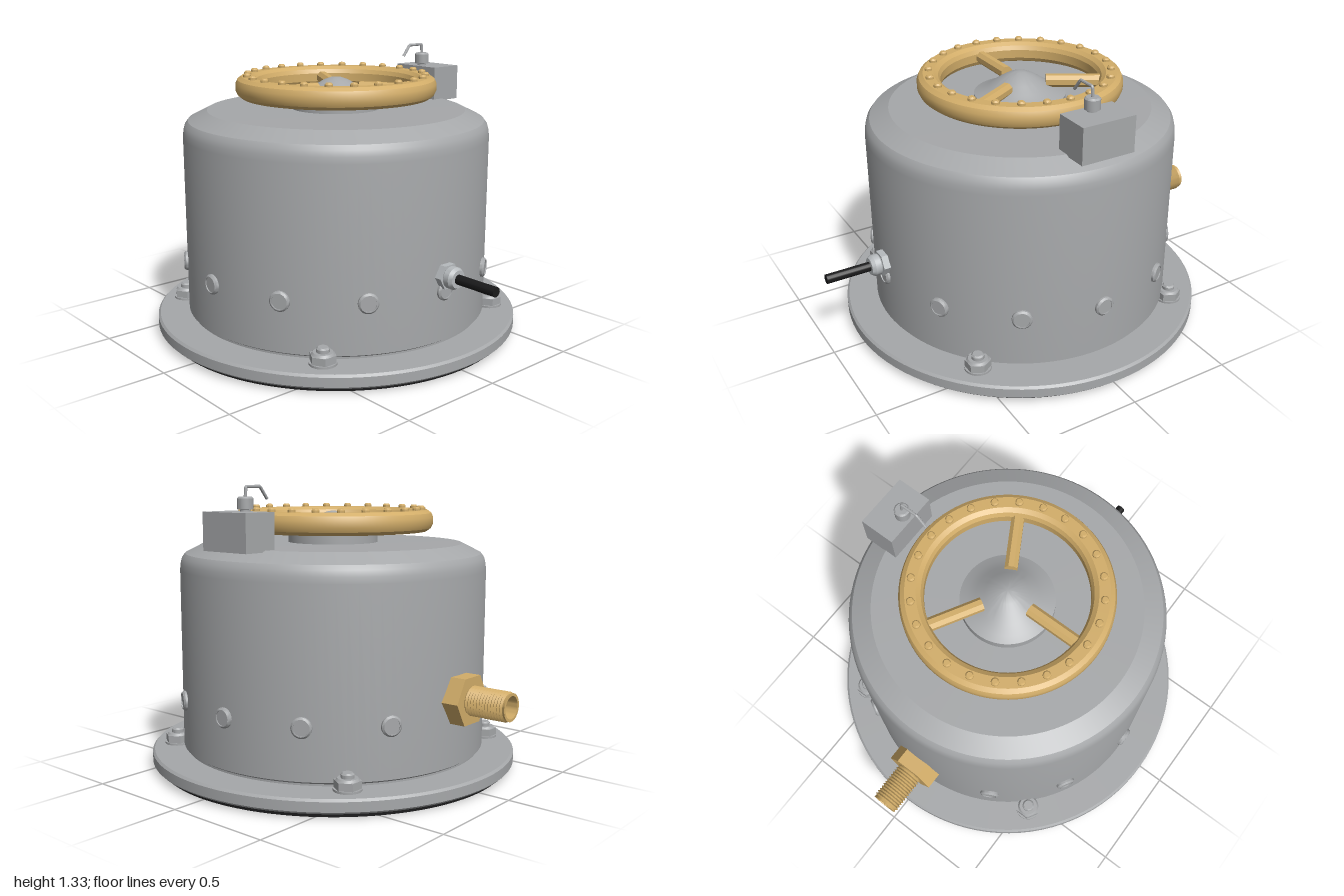
import * as THREE from 'three';
import { toCreasedNormals } from 'three/addons/utils/BufferGeometryUtils.js';

const mat = (name, color) => {
  const m = new THREE.MeshStandardMaterial({ color });
  m.name = name;
  return m;
};

export function createModel() {
  const grey = mat('steel grey', 0xa6a8aa);
  const pale = mat('pale steel', 0xb6babd);
  const brass = mat('brass', 0xd2ad69);
  const black = mat('black rubber', 0x1a1a1b);

  const model = new THREE.Group();
  model.name = 'housing';
  const body = new THREE.Group();
  body.name = 'bodyAssembly';
  body.position.x = -0.013;
  model.add(body);

  const add = (name, geo, material, parent = body) => {
    const mesh = new THREE.Mesh(toCreasedNormals(geo, 0.45), material);
    mesh.name = name;
    parent.add(mesh);
    return mesh;
  };
  const lathe = (pts, seg = 96) =>
    new THREE.LatheGeometry(pts.map(([r, y]) => new THREE.Vector2(r, y)), seg);
  // Cylinder standing on y0 and ending at y1
  const post = (r0, r1, y0, y1, seg = 24) =>
    new THREE.CylinderGeometry(r1, r0, y1 - y0, seg).translate(0, (y0 + y1) / 2, 0);
  const polar = (mesh, r, a, y = 0) => mesh.position.set(r * Math.cos(a), y, r * Math.sin(a));

  // Base: rubber pad, flange and drum
  add('rubberPad', post(0.84, 0.84, 0, 0.03, 96), black);
  add('flange', lathe([[0, 0.022], [0.865, 0.022], [0.875, 0.032], [0.875, 0.076], [0.865, 0.086], [0, 0.086]]), grey);
  add('drum', lathe([
    [0.71, 0.08], [0.71, 0.095], [0.725, 0.105], [0.725, 0.94], [0.722, 0.968], [0.715, 0.995],
    [0.7, 1.015], [0.61, 1.06], [0, 1.062],
  ]), grey);

  // Hub with a bell-shaped cap
  add('hub', lathe([
    [0.213, 1.05], [0.213, 1.105], [0.18, 1.118], [0.14, 1.14], [0.1, 1.168],
    [0.06, 1.192], [0.025, 1.205], [0, 1.208],
  ], 64), grey);

  // Handwheel ring, spokes and rim bolts
  const wheel = new THREE.Group();
  wheel.name = 'handwheel';
  body.add(wheel);
  add('wheelRing', lathe([
    [0.39, 1.115], [0.445, 1.115], [0.465, 1.13], [0.474, 1.15], [0.474, 1.18], [0.465, 1.2],
    [0.445, 1.214], [0.395, 1.214], [0.375, 1.2], [0.365, 1.18], [0.365, 1.14], [0.375, 1.122], [0.39, 1.115],
  ]), brass, wheel);
  for (let i = 0; i < 3; i++) {
    const a = Math.PI / 2 + (i * Math.PI * 2) / 3;
    const spoke = add('spoke', new THREE.CylinderGeometry(0.031, 0.031, 0.27, 8)
      .rotateY(Math.PI / 8).rotateZ(Math.PI / 2), brass, wheel);
    polar(spoke, 0.255, a, 1.16);
    spoke.rotation.y = -a;
  }
  for (let i = 0; i < 24; i++) {
    const bolt = add('rimBolt', lathe([[0.018, 1.205], [0.018, 1.224], [0.012, 1.231], [0, 1.231]], 12), brass, wheel);
    polar(bolt, 0.42, (i * Math.PI) / 12);
  }

  // Side plugs around the drum
  for (let i = 0; i < 12; i++) {
    const a = (i * Math.PI) / 6;
    const plug = add('sidePlug', lathe([
      [0.046, -0.03], [0.046, 0.012], [0.038, 0.02], [0.034, 0.02], [0.034, 0.015], [0, 0.015],
    ], 28).rotateZ(-Math.PI / 2), grey);
    polar(plug, 0.722, a, 0.34);
    plug.rotation.y = -a;
  }

  // Flange nuts with washers and studs
  for (let i = 0; i < 4; i++) {
    const nut = new THREE.Group();
    nut.name = 'flangeNut';
    body.add(nut);
    polar(nut, 0.757, Math.PI / 4 + (i * Math.PI) / 2);
    add('washer', post(0.062, 0.062, 0.08, 0.096), grey, nut);
    add('hexNut', post(0.06, 0.06, 0.096, 0.13, 6), grey, nut);
    add('nutCrown', post(0.052, 0.044, 0.13, 0.14), grey, nut);
    add('stud', lathe([[0.029, 0.13], [0.029, 0.155], [0.022, 0.162], [0, 0.162]], 20), grey, nut);
  }

  // Switch box at the back with a bent wire
  const box = add('switchBox', new THREE.BoxGeometry(0.262, 0.168, 0.17), grey);
  box.position.set(0, 1.136, -0.622);
  const terminal = add('terminal', lathe([
    [0.022, 1.21], [0.022, 1.228], [0.035, 1.23], [0.035, 1.276], [0.028, 1.283], [0, 1.283],
  ], 24), grey);
  terminal.position.z = -0.58;
  const path = new THREE.CurvePath();
  const pts = [[1.27, -0.58], [1.326, -0.575], [1.326, -0.49], [1.272, -0.447]]
    .map(([y, z]) => new THREE.Vector3(0, y, z));
  for (let i = 0; i < 3; i++) path.add(new THREE.LineCurve3(pts[i], pts[i + 1]));
  add('wire', new THREE.TubeGeometry(path, 48, 0.007, 8), grey);

  // Threaded brass fitting on the right, its axis running out along -x
  const fitting = new THREE.Group();
  fitting.name = 'brassFitting';
  fitting.position.set(0, 0.407, 0);
  fitting.rotation.z = Math.PI / 2;
  model.add(fitting);
  add('fittingHex', post(0.12, 0.12, 0.7, 0.808, 6), brass, fitting);
  const thread = [[0.06, 0.8]];
  for (let i = 0; i < 13; i++) thread.push([0.067, 0.813 + i * 0.014], [0.058, 0.82 + i * 0.014]);
  thread.push([0.062, 1], [0.05, 1], [0.05, 0.85], [0, 0.85]);
  add('threadedPipe', lathe(thread, 40), brass, fitting);

  // Cable gland and cable on the left, along +x
  const gland = new THREE.Group();
  gland.name = 'cableGland';
  gland.position.set(0, 0.408, 0);
  gland.rotation.z = -Math.PI / 2;
  model.add(gland);
  add('glandNut', post(0.06, 0.06, 0.7, 0.742, 6), pale, gland);
  add('glandCap', lathe([
    [0.042, 0.74], [0.05, 0.748], [0.05, 0.775], [0.04, 0.791], [0, 0.791],
  ], 28), pale, gland);
  add('cable', post(0.022, 0.022, 0.75, 1), black, gland);

  return model;
}
